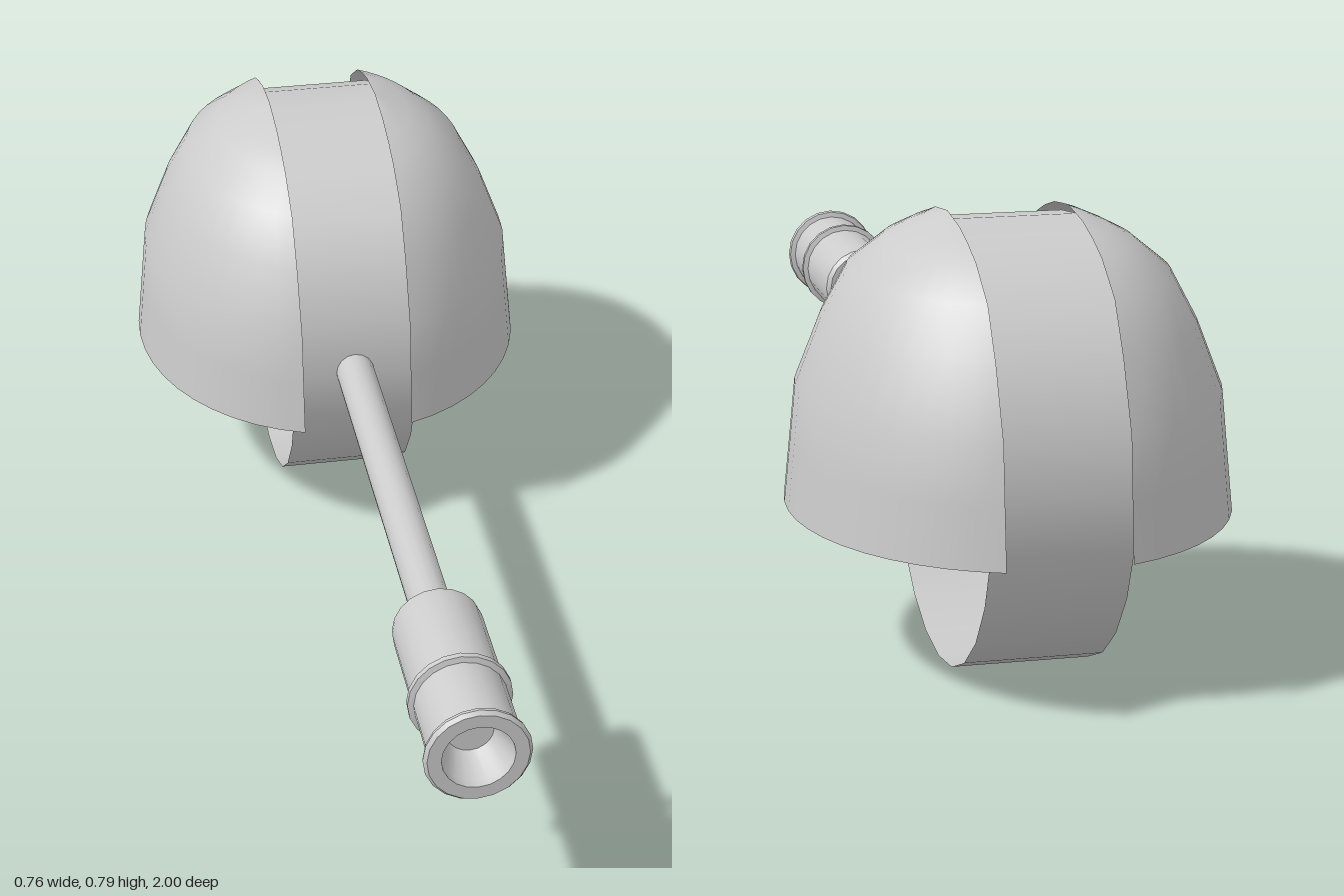
import * as THREE from 'three';
import { toCreasedNormals } from 'three/addons/utils/BufferGeometryUtils.js';

const AXIS_Y = 0.385;   // height of the rod and hoop centre
const HEAD_Z = -0.585;  // centre of the hoop and shells
const CUT_X = 0.105;    // inner edge of each shell

const material = new THREE.MeshStandardMaterial({ color: 0xcccccc, side: THREE.DoubleSide });

function addMesh(parent, name, geometry) {
  const mesh = new THREE.Mesh(geometry, material);
  mesh.name = name;
  parent.add(mesh);
  return mesh;
}

// Part of an oval dome, cut off by the plane x = CUT_X
function shellGeometry() {
  // [height, half width in x], top to bottom
  const rows = [
    [0.785, CUT_X], [0.774, 0.132], [0.757, 0.17], [0.736, 0.21], [0.685, 0.272],
    [0.6, 0.317], [0.485, 0.361], [0.38, 0.371], [0.278, 0.381],
  ];
  const columns = 20;
  const geometry = new THREE.PlaneGeometry(1, 1, columns, rows.length - 1);
  const position = geometry.attributes.position;
  rows.forEach(([y, a], j) => {
    const limit = Math.acos(Math.min(1, CUT_X / a));
    for (let i = 0; i <= columns; i++) {
      const angle = limit * (1 - (2 * i) / columns);
      position.setXYZ(j * (columns + 1) + i, a * Math.cos(angle), y, 1.145 * a * Math.sin(angle));
    }
  });
  geometry.computeVertexNormals();
  return geometry;
}

// Turned part whose profile [radius, z] runs along the z axis
function turned(profile, sides) {
  const points = profile.map(([r, z]) => new THREE.Vector2(r, z));
  const geometry = new THREE.LatheGeometry(points, sides).rotateX(Math.PI / 2);
  return toCreasedNormals(geometry, 0.6);
}

export function createModel() {
  const model = new THREE.Group();
  model.name = 'shelledHoopOnRod';

  // Head: open hoop with a shell on each side
  const head = new THREE.Group();
  head.name = 'head';
  head.position.z = HEAD_Z;
  model.add(head);

  const hoop = new THREE.CylinderGeometry(0.385, 0.385, 0.24, 24, 1, true).rotateZ(Math.PI / 2);
  addMesh(head, 'hoop', hoop).position.y = AXIS_Y;

  const shell = shellGeometry();
  addMesh(head, 'leftShell', shell);
  addMesh(head, 'rightShell', shell).rotation.y = Math.PI;

  // Rod from inside the hoop to the handle
  const rod = turned([[0, -0.61], [0.037, -0.61], [0.037, 0.65], [0, 0.65]], 16);
  addMesh(model, 'rod', rod).position.y = AXIS_Y;

  // Handle with two raised rings and a tapered socket in its end
  const handle = turned([
    [0, 0.627], [0.07, 0.627], [0.078, 0.635], [0.08, 0.65],
    [0.08, 0.832], [0.09, 0.835], [0.09, 0.846], [0.08, 0.849],
    [0.08, 0.982], [0.09, 0.985], [0.092, 0.993], [0.086, 1],
    [0.062, 1], [0.06, 0.985], [0.04, 0.93], [0, 0.93],
  ], 20);
  addMesh(model, 'handle', handle).position.y = AXIS_Y;

  return model;
}
